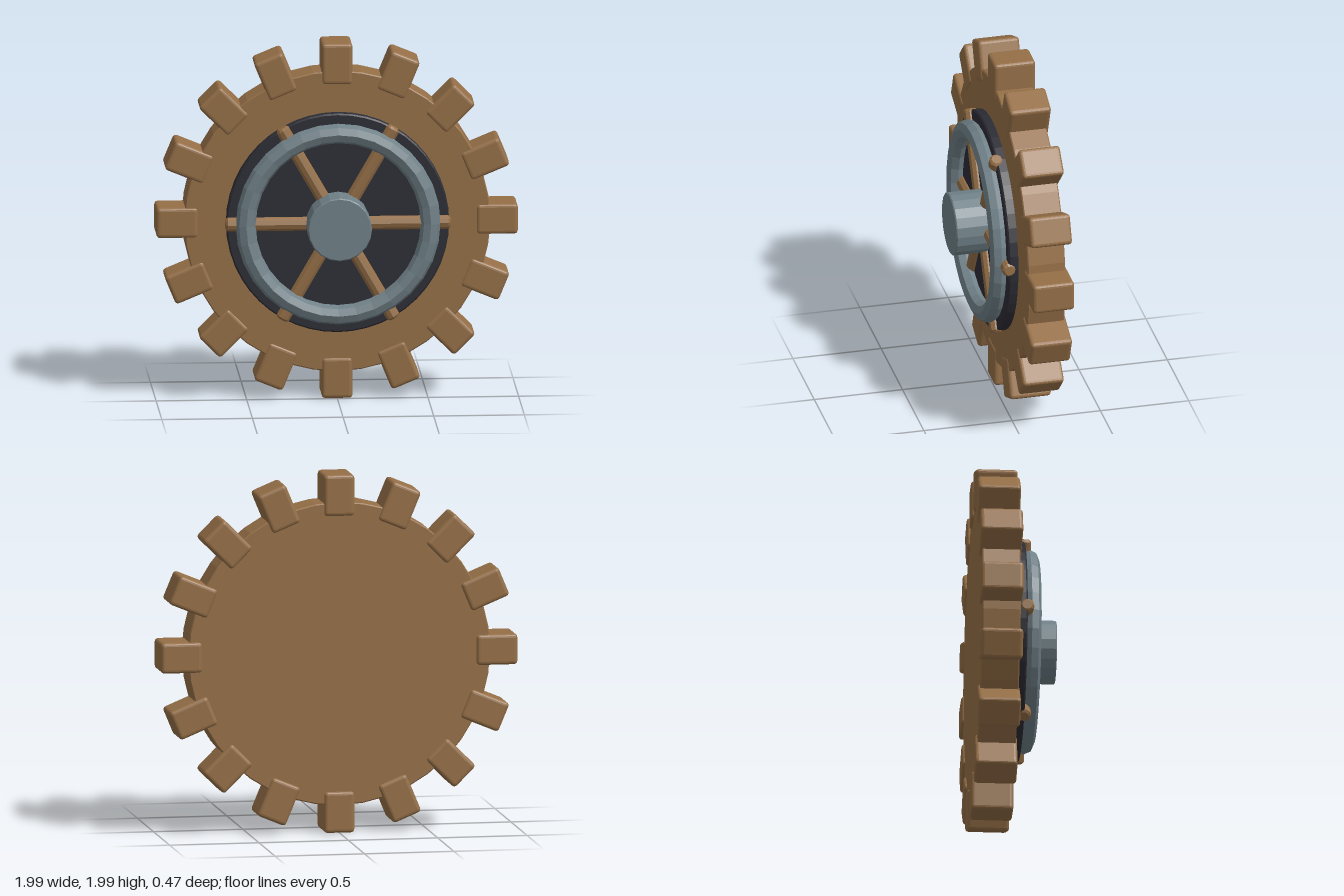
import * as THREE from 'three';
import { RoundedBoxGeometry } from 'three/addons/geometries/RoundedBoxGeometry.js';

const material = (name, color) => {
  const m = new THREE.MeshStandardMaterial({ color, flatShading: true });
  m.name = name;
  return m;
};

export function createModel() {
  const wood = material('wood', 0x956f47);
  const steel = material('steel', 0x708188);
  const iron = material('dark iron', 0x2c2c35);

  const model = new THREE.Group();
  model.name = 'cogWheel';
  const wheel = new THREE.Group();
  wheel.name = 'wheel';
  wheel.position.y = 1;
  model.add(wheel);

  const add = (name, geometry, mat, parent = wheel) => {
    const mesh = new THREE.Mesh(geometry, mat);
    mesh.name = name;
    parent.add(mesh);
    return mesh;
  };

  // Solid disc along z with a small bevel on both rims
  const disc = (radius, back, front, bevel, sides) => {
    const profile = [
      [0, back], [radius - bevel, back], [radius, back + bevel],
      [radius, front - bevel], [radius - bevel, front], [0, front],
    ].map(([r, h]) => new THREE.Vector2(r, h));
    return new THREE.LatheGeometry(profile, sides).rotateX(Math.PI / 2);
  };

  add('gearDisc', disc(0.845, -0.22, -0.008, 0.006, 40), wood);
  add('backPlate', disc(0.615, -0.02, 0.045, 0.008, 48), iron);
  add('rimRing', new THREE.TorusGeometry(0.51, 0.055, 8, 32).translate(0, 0, 0.073), steel);
  add('hub', disc(0.177, 0, 0.235, 0.006, 20), steel);

  // Sixteen rounded teeth around the disc
  const toothShape = new RoundedBoxGeometry(0.17, 0.23, 0.235, 2, 0.02)
    .translate(0, 0.882, -0.1175);
  for (let i = 0; i < 16; i++) {
    add('tooth', toothShape, wood).rotation.z = (i * Math.PI) / 8;
  }

  // Six spokes running from the hub through the ring
  const spokeProfile = [[0, 0.1], [0.04, 0.1], [0.04, 0.608], [0.028, 0.62], [0, 0.62]]
    .map(([r, h]) => new THREE.Vector2(r, h));
  const spokeShape = new THREE.LatheGeometry(spokeProfile, 10).translate(0, 0, 0.042);
  for (let i = 0; i < 6; i++) {
    add('spoke', spokeShape, wood).rotation.z = Math.PI / 2 + (i * Math.PI) / 3;
  }

  return model;
}
